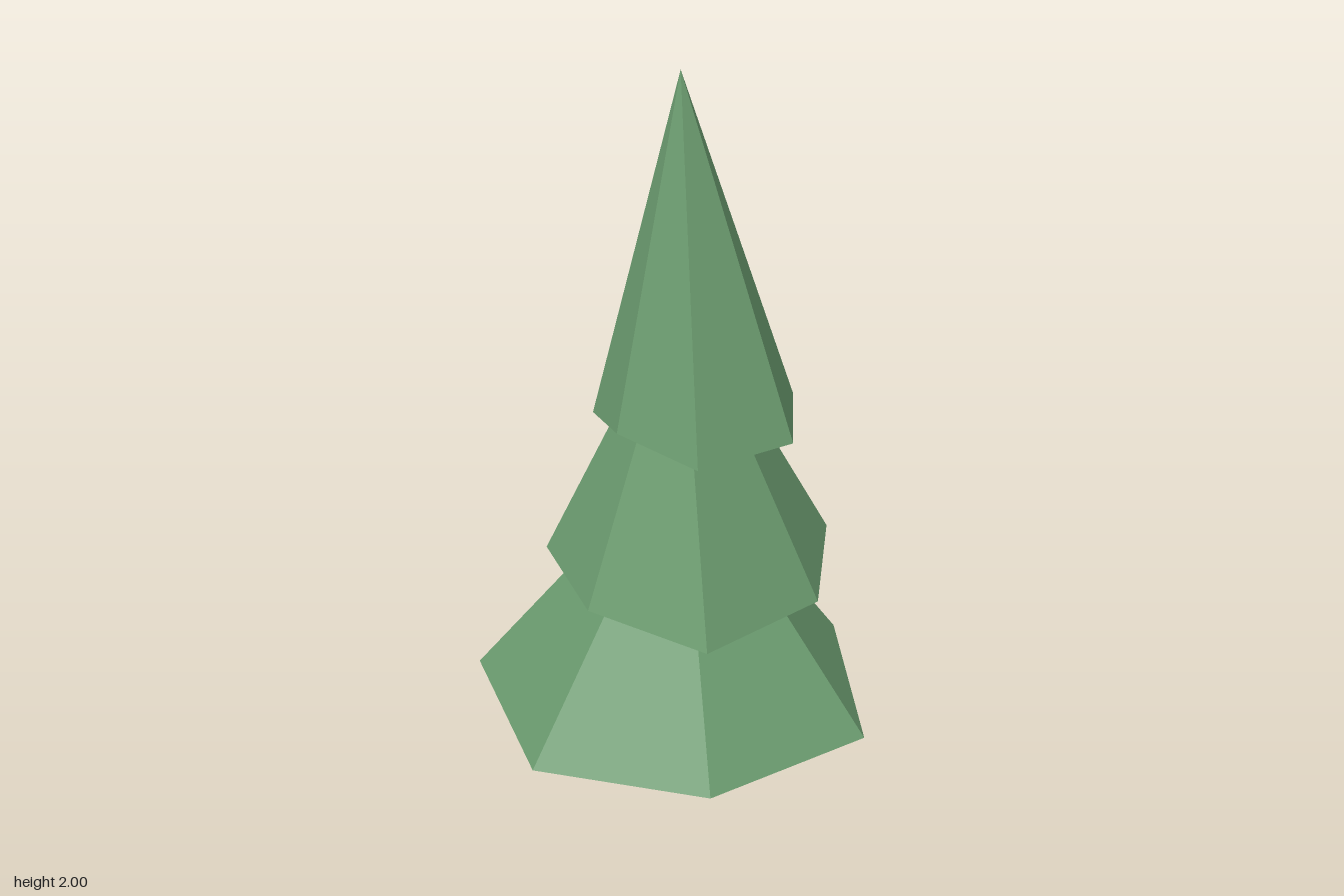
import * as THREE from 'three';

const foliage = new THREE.MeshStandardMaterial({ name: 'foliage green', color: 0x6a9a6e });
const bark = new THREE.MeshStandardMaterial({ name: 'bark brown', color: 0x705a4a });
const TRUNK_X = -0.02;

// Closed faceted cone: an irregular rim [x, y, z], an apex and a flat underside
function tier(name, apexY, rim) {
  const apex = [TRUNK_X, apexY, 0];
  const baseY = rim.reduce((sum, p) => sum + p[1], 0) / rim.length;
  const centre = [TRUNK_X, baseY, 0];
  const positions = [];
  rim.forEach((p, i) => {
    const next = rim[(i + 1) % rim.length];
    positions.push(...apex, ...next, ...p);
    positions.push(...centre, ...p, ...next);
  });
  const geometry = new THREE.BufferGeometry();
  geometry.setAttribute('position', new THREE.Float32BufferAttribute(positions, 3));
  geometry.computeVertexNormals(); // unshared corners give flat facets
  const mesh = new THREE.Mesh(geometry, foliage);
  mesh.name = name;
  return mesh;
}

export function createModel() {
  const tree = new THREE.Group();
  tree.name = 'pineTree';

  // Five-sided trunk, slightly tapered, with one corner towards +x
  const trunkGeometry = new THREE.CylinderGeometry(0.037, 0.044, 0.4, 5).toNonIndexed();
  trunkGeometry.rotateY(Math.PI / 2).translate(TRUNK_X, 0.2, 0);
  trunkGeometry.computeVertexNormals();
  const trunk = new THREE.Mesh(trunkGeometry, bark);
  trunk.name = 'trunk';
  tree.add(trunk);

  // Three branch tiers, rims running from +x towards +z
  tree.add(tier('lowerBranches', 1.0, [
    [0.54, 0.277, 0], [0.30, 0.277, 0.405], [-0.15, 0.275, 0.544], [-0.54, 0.273, 0.246],
    [-0.40, 0.275, -0.185], [-0.15, 0.267, -0.544], [0.27, 0.303, -0.37],
  ]));
  tree.add(tier('middleBranches', 1.46, [
    [0.385, 0.668, 0], [0.253, 0.68, 0.344], [-0.10, 0.673, 0.336], [-0.352, 0.675, 0.154],
    [-0.424, 0.67, -0.197], [-0.103, 0.69, -0.353], [0.245, 0.66, -0.339],
  ]));
  tree.add(tier('upperBranches', 2.0, [
    [0.297, 1.115, 0], [0.149, 1.102, 0.211], [-0.074, 1.145, 0.22], [-0.224, 1.102, 0.098],
    [-0.302, 1.11, -0.136], [-0.077, 1.12, -0.243], [0.172, 1.102, -0.246],
  ]));

  return tree;
}
